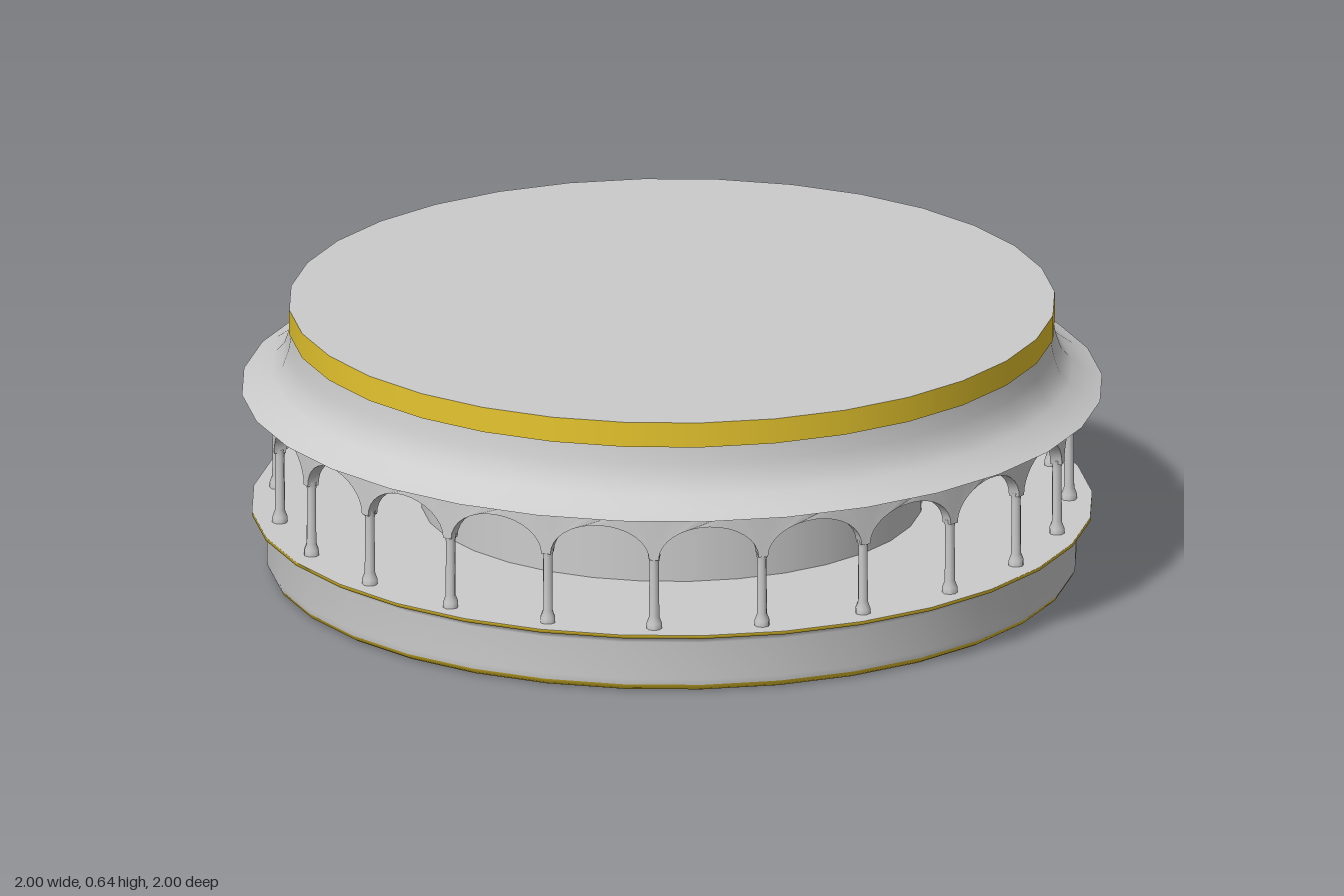
import * as THREE from 'three';
import { toCreasedNormals } from 'three/addons/utils/BufferGeometryUtils.js';

const SIDES = 32, BAYS = 23, STEP = (Math.PI * 2) / BAYS;
const grey = new THREE.MeshStandardMaterial({ color: 0xcccccc, side: THREE.DoubleSide });
const gold = new THREE.MeshStandardMaterial({ color: 0xe6c52e, side: THREE.DoubleSide });

// Surface of revolution from [radius, y] pairs
function ring(name, points, material = grey) {
  const profile = points.map(([r, y]) => new THREE.Vector2(r, y));
  const mesh = new THREE.Mesh(new THREE.LatheGeometry(profile, SIDES), material);
  mesh.name = name;
  return mesh;
}

// One arched bay, extruded flat and then bent around the building
function archGeometry(rIn, rOut, spring, rise, top) {
  const w = rOut * STEP, half = w / 2, open = half - 0.011;
  const s = new THREE.Shape();
  s.moveTo(-half, top);
  s.lineTo(-half, spring);
  s.lineTo(-open, spring);
  for (let i = 1; i <= 16; i++) {
    const a = Math.PI * (1 - i / 16);
    s.lineTo(open * Math.cos(a), spring + rise * Math.sin(a));
  }
  s.lineTo(half, spring);
  for (let i = 0; i < 8; i++) s.lineTo(half - (w * i) / 8, top);
  const geo = new THREE.ExtrudeGeometry(s, { depth: rOut - rIn, bevelEnabled: false });
  const p = geo.attributes.position;
  for (let i = 0; i < p.count; i++) {
    const a = p.getX(i) / rOut, r = rIn + p.getZ(i);
    p.setXYZ(i, r * Math.sin(a), p.getY(i), r * Math.cos(a));
  }
  return toCreasedNormals(geo, 0.6);
}

export function createModel() {
  const model = new THREE.Group();
  model.name = 'roundPavilion';

  // Hollow base with gilded edges
  model.add(
    ring('baseUnderside', [[0.577, 0], [0.925, 0]]),
    ring('baseGoldEdge', [[0.925, 0], [0.935, 0.006], [0.94, 0.016]], gold),
    ring('baseWall', [[0.94, 0.016], [0.942, 0.03], [0.942, 0.12], [0.948, 0.132], [0.958, 0.139]]),
    ring('floorGoldLip', [[0.958, 0.139], [0.977, 0.141], [0.977, 0.149]], gold),
    ring('floor', [[0.977, 0.149], [0.58, 0.149]]),
  );

  // Open-ended inner drum and arcade ceiling
  model.add(
    ring('innerDrum', [[0.582, 0.149], [0.582, 0.435]]),
    ring('ceiling', [[0.582, 0.435], [1, 0.435]]),
  );

  // Flared roof, gold band and flat top
  model.add(
    ring('roof', [[1, 0.435], [0.965, 0.45], [0.93, 0.475], [0.906, 0.5], [0.892, 0.54], [0.885, 0.58]]),
    ring('roofGoldBand', [[0.89, 0.58], [0.89, 0.64]], gold),
    ring('roofTop', [[0.89, 0.64], [0, 0.64]]),
  );

  // Arcade of arches on slender columns
  const arcade = new THREE.Group();
  arcade.name = 'arcade';
  const arch = archGeometry(0.908, 0.936, 0.32, 0.08, 0.435);
  const column = new THREE.LatheGeometry(
    [[0.018, 0.149], [0.018, 0.162], [0.012, 0.178], [0.011, 0.31], [0.015, 0.33]]
      .map(([r, y]) => new THREE.Vector2(r, y)), 8);
  for (let i = 0; i < BAYS; i++) {
    const a = i * STEP;
    const c = new THREE.Mesh(column, grey);
    c.name = 'column';
    c.position.set(0.921 * Math.sin(a), 0, 0.921 * Math.cos(a));
    c.rotation.y = a;
    const b = new THREE.Mesh(arch, grey);
    b.name = 'arch';
    b.rotation.y = a + STEP / 2;
    arcade.add(c, b);
  }
  model.add(arcade);
  return model;
}
